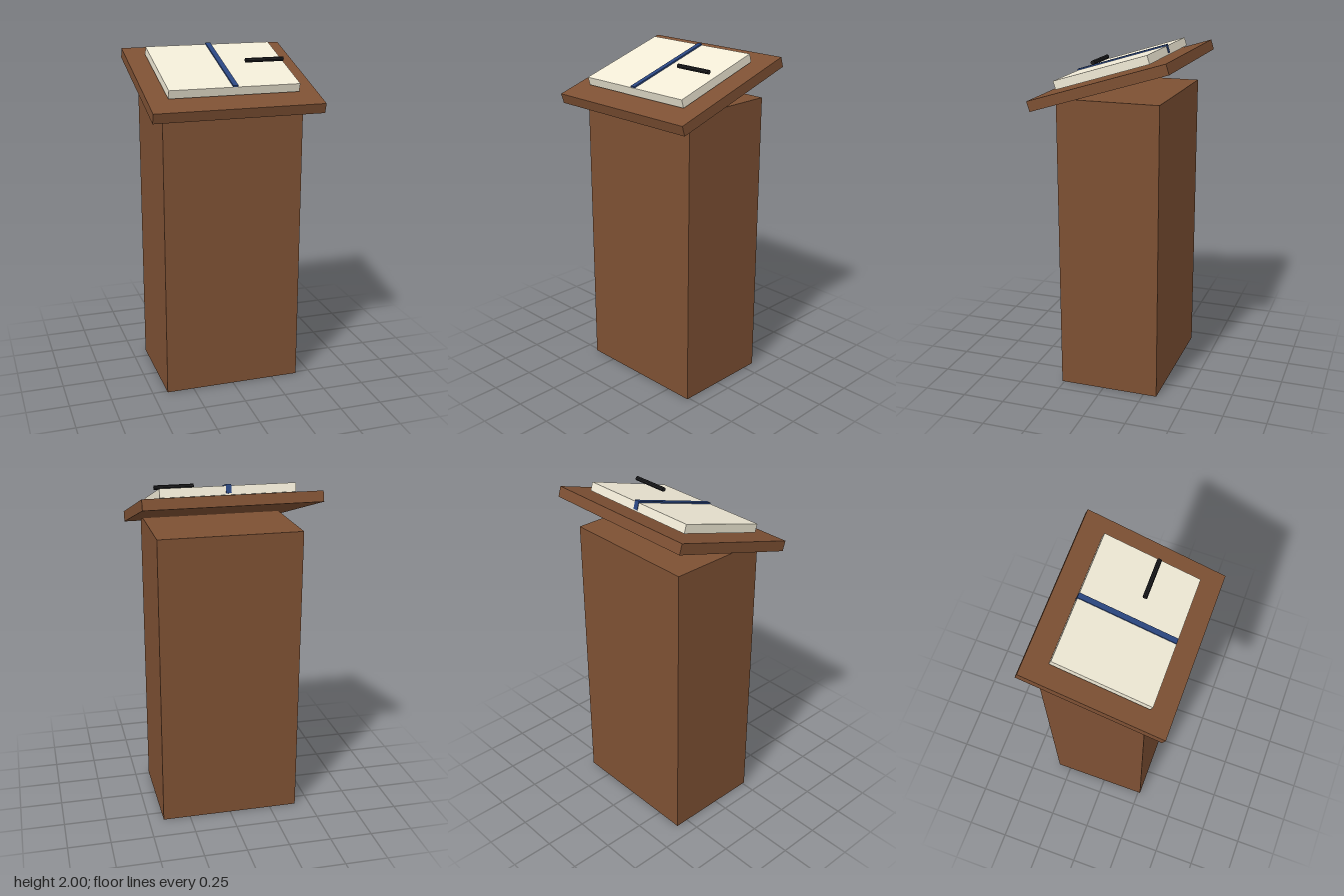
import * as THREE from 'three';

const TILT = 0.3; // slope of the reading surface, rising to the back

export function createModel() {
  const group = new THREE.Group();
  group.name = 'lectern';

  const wood = new THREE.MeshStandardMaterial({ color: 0x7d5033 });
  const paper = new THREE.MeshStandardMaterial({ color: 0xf0ead6 });
  const blue = new THREE.MeshStandardMaterial({ color: 0x2a4680 });
  const black = new THREE.MeshStandardMaterial({ color: 0x1c1c1e });
  black.flatShading = true;

  const add = (name, geometry, material, x, y, z, tilt = 0) => {
    const mesh = new THREE.Mesh(geometry, material);
    mesh.name = name;
    mesh.position.set(x, y, z);
    mesh.rotation.x = tilt;
    group.add(mesh);
    return mesh;
  };

  // Solid upright body
  add('body', new THREE.BoxGeometry(0.824, 1.735, 0.594), wood, 0, 0.8675, -0.033);

  // Sloping desk board
  add('deskBoard', new THREE.BoxGeometry(0.99, 0.06, 0.826), wood, 0, 1.82, 0, TILT);

  // Open book hovering just above the board
  add('book', new THREE.BoxGeometry(0.76, 0.05, 0.565), paper, 0, 1.885, 0.0145, TILT);

  // Ribbon down the middle, raised slightly so it stands proud of the pages
  add('ribbon', new THREE.BoxGeometry(0.03, 0.05, 0.565), blue, 0, 1.894, 0.0145, TILT);

  // Pen lying across the right-hand page
  const pen = new THREE.CylinderGeometry(0.013, 0.013, 0.23, 8).rotateZ(Math.PI / 2);
  add('pen', pen, black, 0.246, 1.934, 0.064);

  return group;
}
